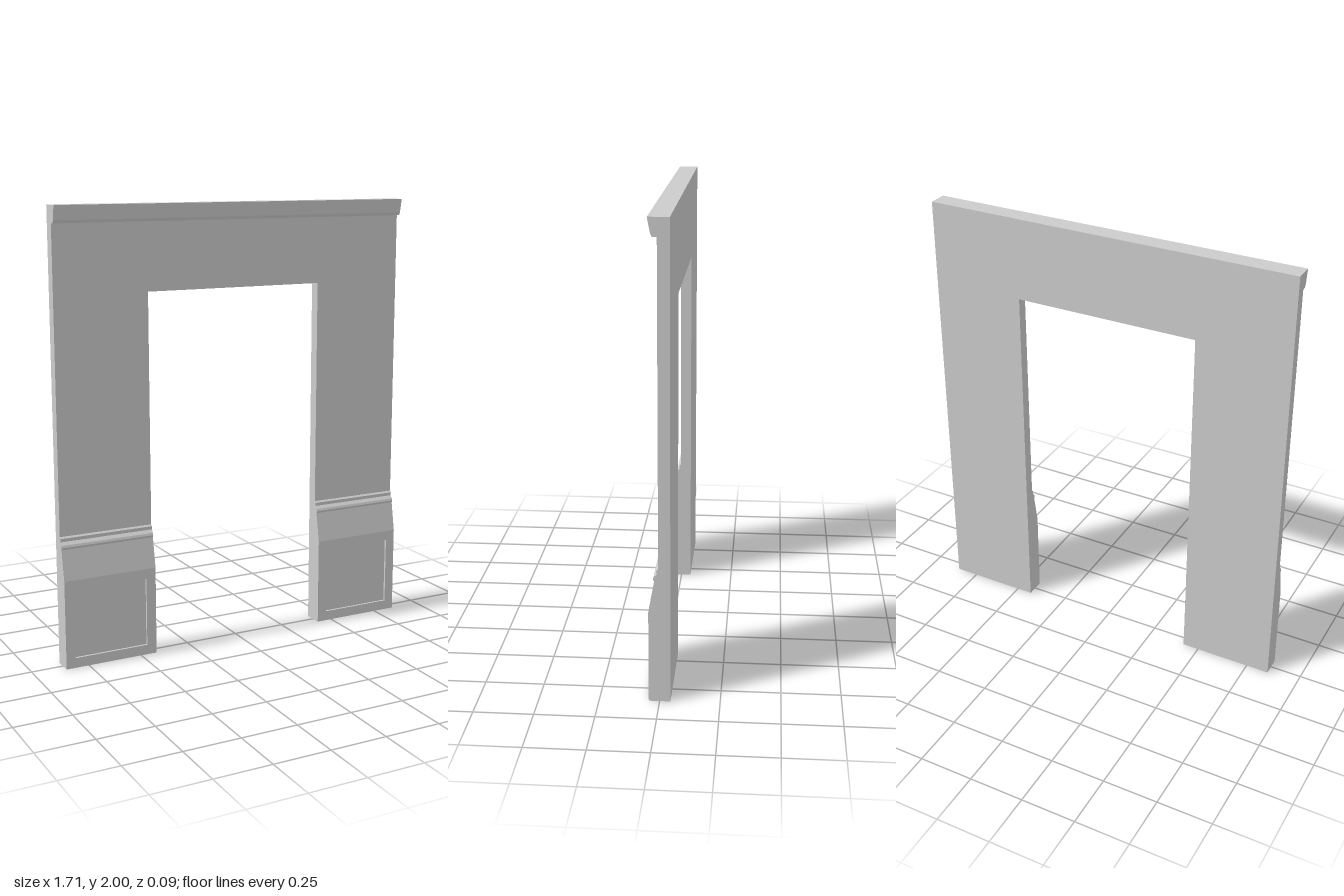
import * as THREE from 'three';

const HALF_W = 0.855, OPEN = 0.425, OPEN_TOP = 1.625;
const BACK = -0.045, WALL = 0.004, PANEL = 0.035, FRONT = 0.045;
const mat = new THREE.MeshStandardMaterial({ color: 0xcccccc, flatShading: true });

const shapeOf = (pts) => new THREE.Shape(pts.map(([x, y]) => new THREE.Vector2(x, y)));
const rect = (x0, y0, x1, y1) => [[x0, y0], [x1, y0], [x1, y1], [x0, y1]];

function addMesh(parent, name, geometry) {
  const mesh = new THREE.Mesh(geometry, mat);
  mesh.name = name;
  parent.add(mesh);
}

// Extrude an outline in x/y from z0 to z1
function slab(shape, z0, z1) {
  return new THREE.ExtrudeGeometry(shape, { depth: z1 - z0, bevelEnabled: false }).translate(0, 0, z0);
}

// Run a [z, y] moulding profile along x from x0 to x1
function moulding(profile, x0, x1) {
  const g = new THREE.ExtrudeGeometry(shapeOf(profile), { depth: x1 - x0, bevelEnabled: false });
  return g.rotateY(-Math.PI / 2).translate(x1, 0, 0);
}

export function createModel() {
  const group = new THREE.Group();
  group.name = 'doorwayWall';

  // Flat wall with the door opening
  addMesh(group, 'wall', slab(shapeOf([
    [-HALF_W, 0], [-OPEN, 0], [-OPEN, OPEN_TOP], [OPEN, OPEN_TOP],
    [OPEN, 0], [HALF_W, 0], [HALF_W, 2], [-HALF_W, 2],
  ]), BACK, WALL));

  // Cornice leaning outwards along the top
  addMesh(group, 'cornice', moulding([
    [WALL, 1.925], [0.022, 1.925], [0.029, 1.938], [0.041, 2], [WALL, 2],
  ], -HALF_W, HALF_W));

  // Plinth at the foot of each pier: sloped cap, bead, and framed sunken panel
  const plinthProfile = [
    [WALL, 0], [PANEL, 0], [PANEL, 0.4], [FRONT, 0.4], [0.021, 0.535], [0.025, 0.545],
    [0.022, 0.555], [0.01, 0.568], [0.012, 0.583], [WALL, 0.59],
  ];
  for (const [side, x0, x1] of [['right', -HALF_W, -OPEN], ['left', OPEN, HALF_W]]) {
    const plinth = new THREE.Group();
    plinth.name = side + 'Plinth';
    addMesh(plinth, 'plinthBody', moulding(plinthProfile, x0, x1));
    const frame = shapeOf(rect(x0, 0, x1, 0.4));
    frame.holes.push(shapeOf(rect(x0 + 0.045, 0.045, x1 - 0.045, 0.355)));
    addMesh(plinth, 'panelFrame', slab(frame, PANEL, FRONT));
    group.add(plinth);
  }
  return group;
}
